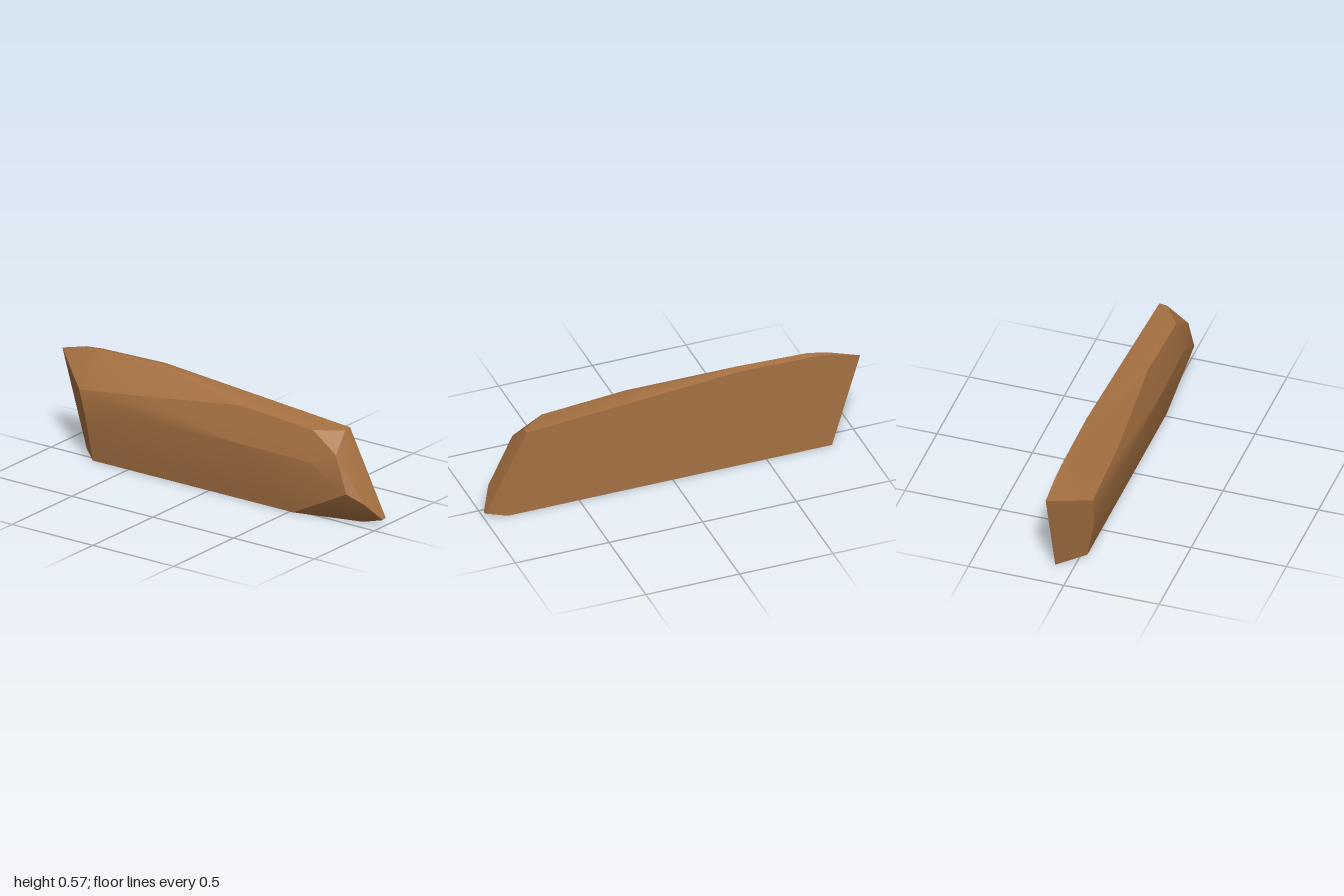
import * as THREE from 'three';
import { ConvexGeometry } from 'three/addons/geometries/ConvexGeometry.js';
import { toCreasedNormals } from 'three/addons/utils/BufferGeometryUtils.js';

const BACK = -0.095;

// Corners of the chipped slab, grouped by the edge loop they belong to
const backOutline = [
  [-1, 0.5], [-0.85, 0.54], [-0.75, 0.55], [-0.36, 0.56],
  [0.78, 0.472], [1, 0.042], [0.88, 0], [-0.85, 0],
].map(([x, y]) => [x, y, BACK]);

const topRidge = [
  [-0.83, 0.545, -0.072], [-0.73, 0.557, -0.06], [-0.36, 0.567, -0.057],
  [0.2, 0.5, 0.04], [0.65, 0.467, 0.037], [0.78, 0.467, -0.055],
];

const frontBulge = [
  [-0.77, 0.38, 0.075], [-0.38, 0.43, 0.075], [-0.4, 0.39, 0.086],
  [-0.73, 0.22, 0.071], [-0.38, 0.32, 0.095], [0.2, 0.32, 0.091],
  [0.66, 0.31, 0.078], [0.72, 0.42, 0.04], [0.8, 0.37, 0.05],
];

const rightChip = [
  [0.87, 0.18, 0.058], [0.81, 0.37, 0.015], [0.945, 0.13, 0.012], [1, 0.035, -0.07],
];

const bottomEdge = [[-0.72, 0, 0.03], [0.52, 0, 0.03], [0.88, 0, -0.07]];

export function createModel() {
  const group = new THREE.Group();
  group.name = 'rockSlab';

  const stone = new THREE.MeshStandardMaterial({ color: 0xa67142 });
  stone.name = 'brown stone';

  // Slab: hull of the loops, soft over the bulge and sharp at the chips
  const points = [backOutline, topRidge, frontBulge, rightChip, bottomEdge]
    .flat()
    .map((p) => new THREE.Vector3(...p));
  const slab = new THREE.Mesh(
    toCreasedNormals(new ConvexGeometry(points), THREE.MathUtils.degToRad(20)),
    stone,
  );
  slab.name = 'slab';
  group.add(slab);
  return group;
}
